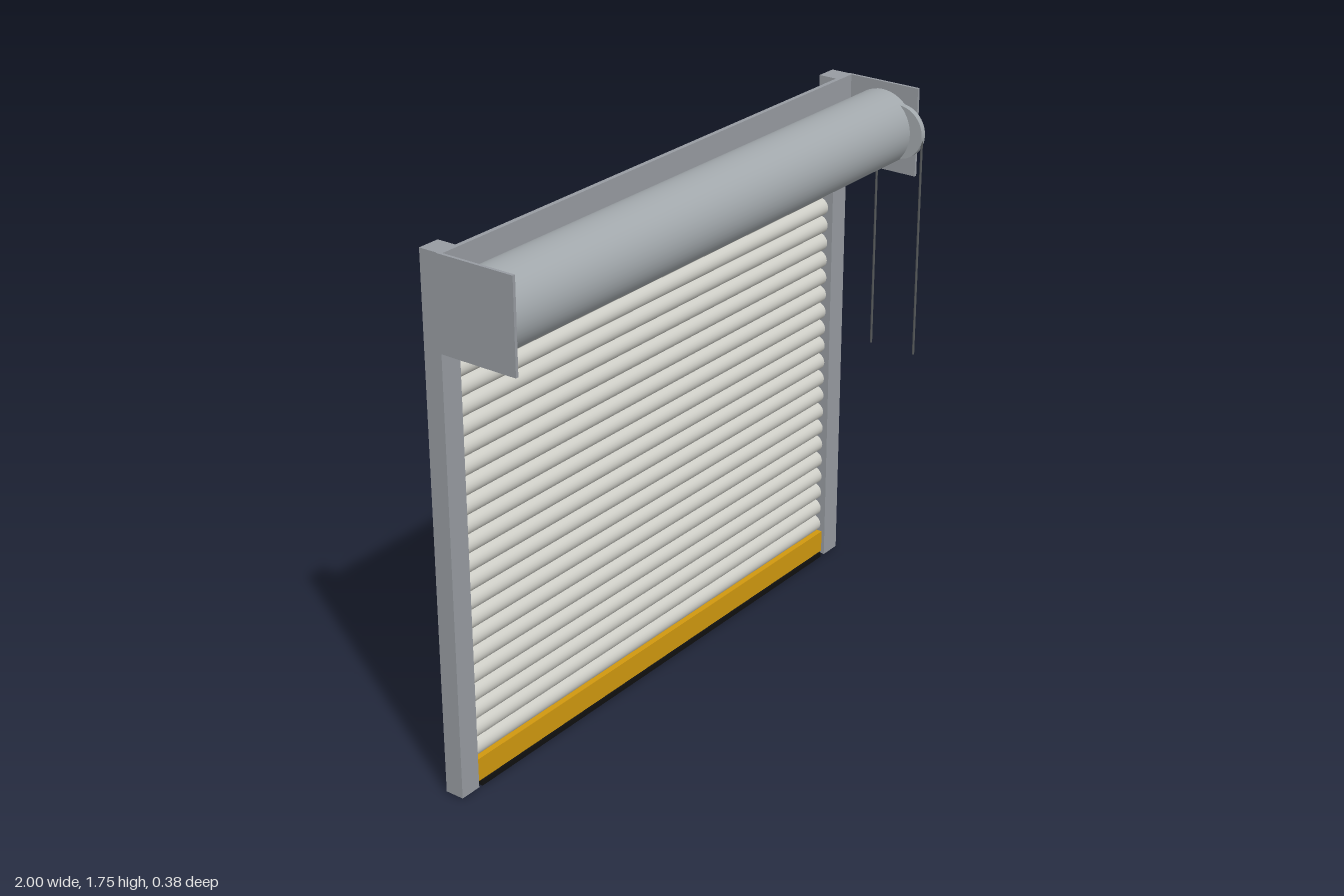
import * as THREE from 'three';
import { mergeGeometries } from 'three/addons/utils/BufferGeometryUtils.js';

const mat = (name, color, side = THREE.FrontSide) => {
  const m = new THREE.MeshStandardMaterial({ color, side });
  m.name = name;
  return m;
};

export function createModel() {
  const steel = mat('frame steel', 0x979ba1);
  const drumSteel = mat('drum steel', 0xa2a8ac);
  const slatPaint = mat('slat paint', 0xcdcdc6, THREE.DoubleSide);
  const yellow = mat('yellow paint', 0xd0980f);
  const rubber = mat('black rubber', 0x101010);
  const chainMetal = mat('chain metal', 0x55585a);

  const model = new THREE.Group();
  model.name = 'rollerShutter';

  const add = (name, geometry, material) => {
    const mesh = new THREE.Mesh(geometry, material);
    mesh.name = name;
    model.add(mesh);
    return mesh;
  };
  // Box given by its limits on each axis
  const box = (name, material, [x0, x1], [y0, y1], [z0, z1]) =>
    add(name, new THREE.BoxGeometry(x1 - x0, y1 - y0, z1 - z0), material)
      .position.set((x0 + x1) / 2, (y0 + y1) / 2, (z0 + z1) / 2);
  // Cylinder lying along x
  const rod = (r, length, ...rest) =>
    new THREE.CylinderGeometry(r, r, length, ...rest).rotateZ(Math.PI / 2);

  // Guide posts and drum end plates
  for (const [side, s] of [['left', 1], ['right', -1]]) {
    const span = (a, b) => (s > 0 ? [a, b] : [-b, -a]);
    box(side + 'GuidePost', steel, span(0.922, 0.997), [0.004, 1.755], [-0.182, -0.118]);
    box(side + 'EndPlate', steel, span(0.99, 1), [1.458, 1.755], [-0.118, 0.153]);
  }

  // Back plate behind the drum
  box('backPlate', steel, [-0.99, 0.99], [1.458, 1.755], [-0.118, -0.103]);

  // Drum
  add('drum', rod(0.125, 1.976, 48), drumSteel).position.set(0, 1.605, 0.02);

  // Curtain: bowed slats with a round hinge bead at every joint
  const slats = 21, bottom = 0.09, top = 1.4, width = 1.832;
  const pitch = (top - bottom) / slats;
  const bows = [], beads = [];
  for (let i = 0; i < slats; i++) {
    const y = bottom + (i + 0.5) * pitch;
    bows.push(rod(1, width, 14, 1, true, -Math.PI / 2, Math.PI)
      .scale(1, pitch / 2, 0.033).translate(0, y, -0.165));
    beads.push(rod(0.012, width, 10).translate(0, y + pitch / 2 - 0.006, -0.171));
  }
  add('curtainSlats', mergeGeometries(bows), slatPaint);
  add('slatHinges', mergeGeometries(beads), slatPaint);

  // Bottom rail, seal and lift handle
  box('bottomRail', yellow, [-0.916, 0.916], [0.018, 0.095], [-0.178, -0.126]);
  box('rubberSeal', rubber, [-0.905, 0.905], [0, 0.018], [-0.181, -0.12]);
  box('liftHandle', steel, [-0.085, 0.085], [0.087, 0.126], [-0.193, -0.176]);

  // Chain wheel and the two hanging chain runs
  add('chainWheel', rod(0.09, 0.02, 40), drumSteel).position.set(0.974, 1.607, 0.1);
  for (const z of [0.185, 0.017]) {
    add('handChain', new THREE.CylinderGeometry(0.004, 0.004, 0.765, 8), chainMetal)
      .position.set(0.974, 1.2225, z);
  }

  return model;
}
